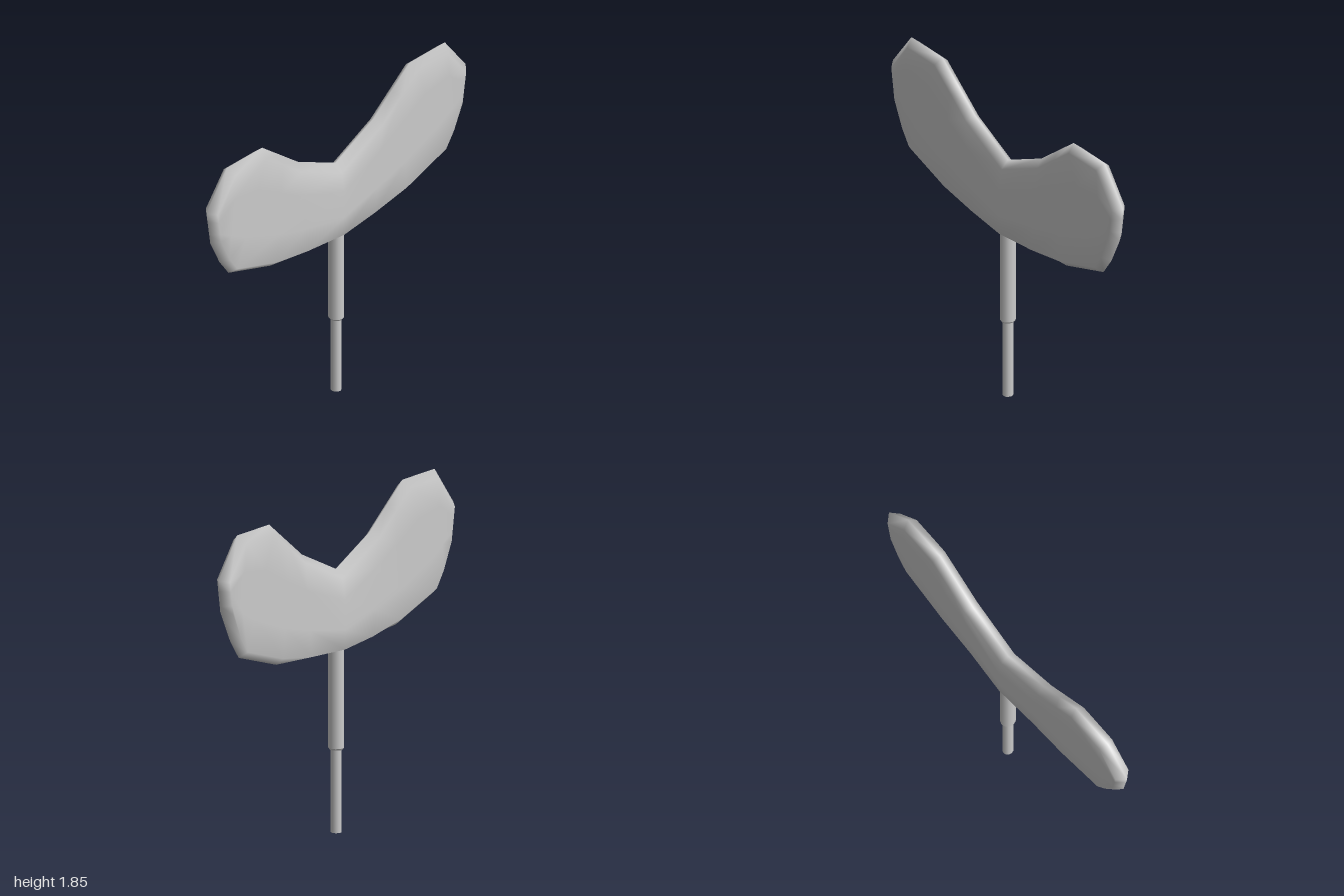
import * as THREE from 'three';

// Half outline as matching columns: upper edge and lower edge, centre to tip
const UPPER = [[0, 1.475], [0.29, 1.62], [0.43, 1.735], [0.57, 1.85], [0.84, 1.85], [1, 1.63]];
const LOWER = [[0, 1.02], [0.26, 1.033], [0.51, 1.05], [0.83, 1.16], [0.9, 1.265], [0.97, 1.42]];
const ROWS = [0, 0.28, 0.7, 1];
const HALF = 0.045, BULGE = 0.062;

const mirror = (half) => [
  ...half.slice(1).reverse().map(([x, y]) => new THREE.Vector2(-x, y)),
  ...half.map(([x, y]) => new THREE.Vector2(x, y)),
];

// Moves every corner of a counter-clockwise loop inwards
function insetLoop(loop, amount) {
  return loop.map((p, i) => {
    const n = loop.length;
    const a = p.clone().sub(loop[(i + n - 1) % n]).normalize();
    const b = loop[(i + 1) % n].clone().sub(p).normalize();
    const na = new THREE.Vector2(-a.y, a.x), nb = new THREE.Vector2(-b.y, b.x);
    const m = na.clone().add(nb).normalize();
    return p.clone().addScaledVector(m, amount(p) / m.dot(na));
  });
}

function cushionGeometry() {
  const lower = mirror(LOWER), upper = mirror(UPPER);
  const C = lower.length, R = ROWS.length;
  const loop = [...lower, ...upper.slice().reverse()];
  const inner = insetLoop(loop, (p) => (p.y < 1.04 ? 0.013 : 0.04));
  const inLower = inner.slice(0, C), inUpper = inner.slice(C).reverse();
  const pos = [], index = [];
  const quad = (a, b, c, d) => index.push(a, b, c, a, c, d);

  // Front and back faces, thicker along the middle column
  for (const side of [1, -1]) {
    for (let c = 0; c < C; c++) {
      for (let r = 0; r < R; r++) {
        const p = inLower[c].clone().lerp(inUpper[c], ROWS[r]);
        const z = c === (C - 1) / 2 && r < R - 1 ? BULGE : HALF;
        pos.push(p.x, p.y, side * z);
      }
    }
  }
  const front = (c, r) => c * R + r, back = (c, r) => C * R + c * R + r;
  for (let c = 0; c < C - 1; c++) {
    for (let r = 0; r < R - 1; r++) {
      quad(front(c, r), front(c + 1, r), front(c + 1, r + 1), front(c, r + 1));
      quad(back(c, r), back(c, r + 1), back(c + 1, r + 1), back(c + 1, r));
    }
  }

  // Ridge around the rim, joined to both faces by bevels
  const rim = [];
  for (let c = 0; c < C; c++) rim.push([c, 0]);
  for (let r = 1; r < R; r++) rim.push([C - 1, r]);
  for (let c = C - 2; c >= 0; c--) rim.push([c, R - 1]);
  for (let r = R - 2; r > 0; r--) rim.push([0, r]);
  const base = pos.length / 3;
  for (const [c, r] of rim) {
    const p = lower[c].clone().lerp(upper[c], ROWS[r]);
    pos.push(p.x, p.y, 0);
  }
  rim.forEach((a, i) => {
    const j = (i + 1) % rim.length, b = rim[j];
    quad(base + i, base + j, front(...b), front(...a));
    quad(base + j, base + i, back(...a), back(...b));
  });

  const geo = new THREE.BufferGeometry();
  geo.setAttribute('position', new THREE.Float32BufferAttribute(pos, 3));
  geo.setIndex(index);
  geo.computeVertexNormals();
  return geo;
}

export function createModel() {
  const group = new THREE.Group();
  const material = new THREE.MeshStandardMaterial({ color: 0xcccccc });
  const add = (name, geo, y = 0) => {
    const mesh = new THREE.Mesh(geo, material);
    mesh.name = name;
    mesh.position.y = y;
    group.add(mesh);
    return mesh;
  };

  add('wingedPad', cushionGeometry());

  // Two-stage post, slightly deeper than wide
  const stage = (name, radius, y0, y1) => {
    add(name, new THREE.CylinderGeometry(radius, radius, y1 - y0, 12), (y0 + y1) / 2).scale.z = 1.08;
  };
  stage('lowerPost', 0.029, 0, 0.48);
  stage('upperPost', 0.042, 0.475, 1.05);
  add('postCollar', new THREE.CylinderGeometry(0.042, 0.036, 0.01, 12), 0.47).scale.z = 1.08;

  return group;
}
